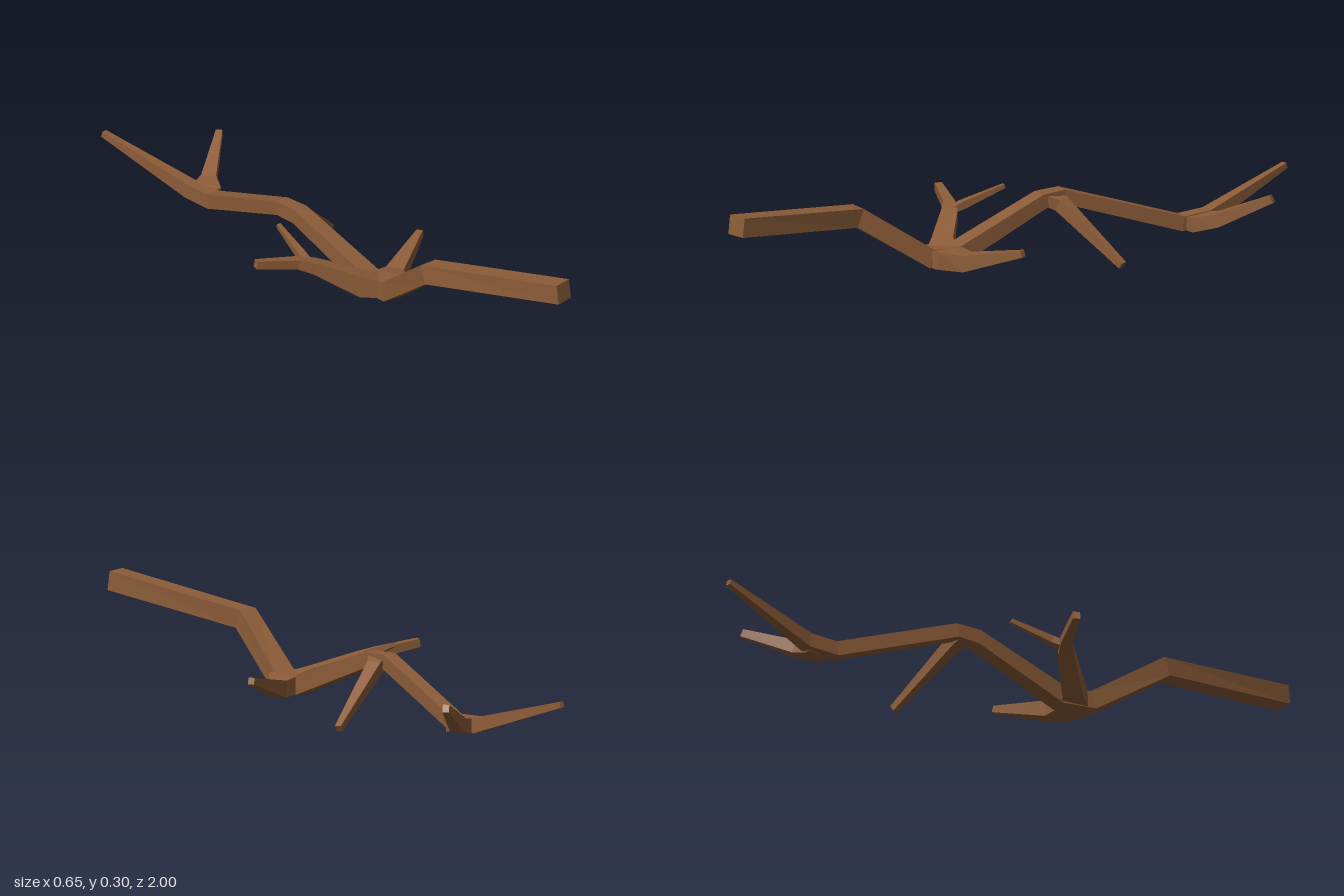
import * as THREE from 'three';

const bark = new THREE.MeshStandardMaterial({ color: 0x8c5c38, flatShading: true });
const UP = new THREE.Vector3(0, 1, 0);
const CORNERS = [[-1, -1], [1, -1], [1, 1], [-1, 1]];

// Square-section limb through stations [x, y, z, width, height], mitred at bends
function limb(name, stations) {
  const points = stations.map(s => new THREE.Vector3(s[0], s[1], s[2]));
  const last = points.length - 1;
  const pos = [], index = [];
  points.forEach((p, i) => {
    const before = p.clone().sub(points[Math.max(i - 1, 0)]).normalize();
    const after = points[Math.min(i + 1, last)].clone().sub(p).normalize();
    const dir = before.add(after).normalize();
    const side = UP.clone().cross(dir).normalize();
    const top = dir.clone().cross(side);
    const [, , , w, h] = stations[i];
    for (const [a, b] of CORNERS) {
      const v = p.clone().addScaledVector(side, a * w / 2).addScaledVector(top, b * h / 2);
      pos.push(v.x, v.y, v.z);
    }
  });
  for (let i = 0; i < last; i++) {
    for (let k = 0; k < 4; k++) {
      const a = i * 4 + k, b = i * 4 + (k + 1) % 4;
      index.push(a, b, b + 4, a, b + 4, a + 4);
    }
  }
  // End caps
  const e = last * 4;
  index.push(0, 2, 1, 0, 3, 2, e, e + 1, e + 2, e, e + 2, e + 3);
  const indexed = new THREE.BufferGeometry();
  indexed.setAttribute('position', new THREE.Float32BufferAttribute(pos, 3));
  indexed.setIndex(index);
  const geometry = indexed.toNonIndexed();
  geometry.computeVertexNormals();
  const mesh = new THREE.Mesh(geometry, bark);
  mesh.name = name;
  return mesh;
}

export function createModel() {
  const group = new THREE.Group();
  group.name = 'fallenBranch';
  group.add(
    // Main stem, thick end at the front
    limb('mainStem', [
      [0.031, 0.271, 0.994, 0.064, 0.06],
      [-0.053, 0.207, 0.505, 0.063, 0.06],
      [0.005, 0.058, 0.28, 0.07, 0.058],
      [0.013, 0.055, 0.18, 0.06, 0.056],
      [0.014, 0.175, -0.125, 0.05, 0.046],
      [0.014, 0.178, -0.2, 0.046, 0.044],
      [0.095, 0.052, -0.58, 0.046, 0.046],
      [0.096, 0.057, -0.68, 0.042, 0.046],
      [0.043, 0.155, -0.997, 0.018, 0.018],
    ]),
    // Lower fork
    limb('lowerLeftTwig', [
      [0.02, 0.057, 0.235, 0.11, 0.053],
      [0.045, 0.056, 0.232, 0.1, 0.055],
      [0.1, 0.05, 0.2, 0.058, 0.051],
      [0.285, 0.107, 0.12, 0.02, 0.021],
    ]),
    limb('lowerRightBranch', [
      [0.01, 0.056, 0.23, 0.09, 0.05],
      [-0.04, 0.066, 0.195, 0.065, 0.066],
      [-0.145, 0.126, 0.1, 0.05, 0.036],
      [-0.19, 0.142, 0.072, 0.036, 0.03],
      [-0.32, 0.163, 0.024, 0.023, 0.025],
    ]),
    limb('rightSpur', [
      [-0.163, 0.134, 0.088, 0.036, 0.018],
      [-0.15, 0.15, 0.045, 0.024, 0.024],
      [-0.119, 0.195, -0.082, 0.012, 0.013],
    ]),
    // Mid-stem twig, drooping to the ground
    limb('middleTwig', [
      [0.02, 0.173, -0.162, 0.065, 0.034],
      [0.05, 0.162, -0.178, 0.044, 0.038],
      [0.271, 0.009, -0.252, 0.02, 0.022],
    ]),
    // Upper fork
    limb('upperTwig', [
      [0.1, 0.051, -0.63, 0.09, 0.04],
      [0.125, 0.052, -0.632, 0.09, 0.046],
      [0.168, 0.064, -0.67, 0.046, 0.042],
      [0.312, 0.146, -0.77, 0.02, 0.024],
    ]),
  );
  return group;
}
